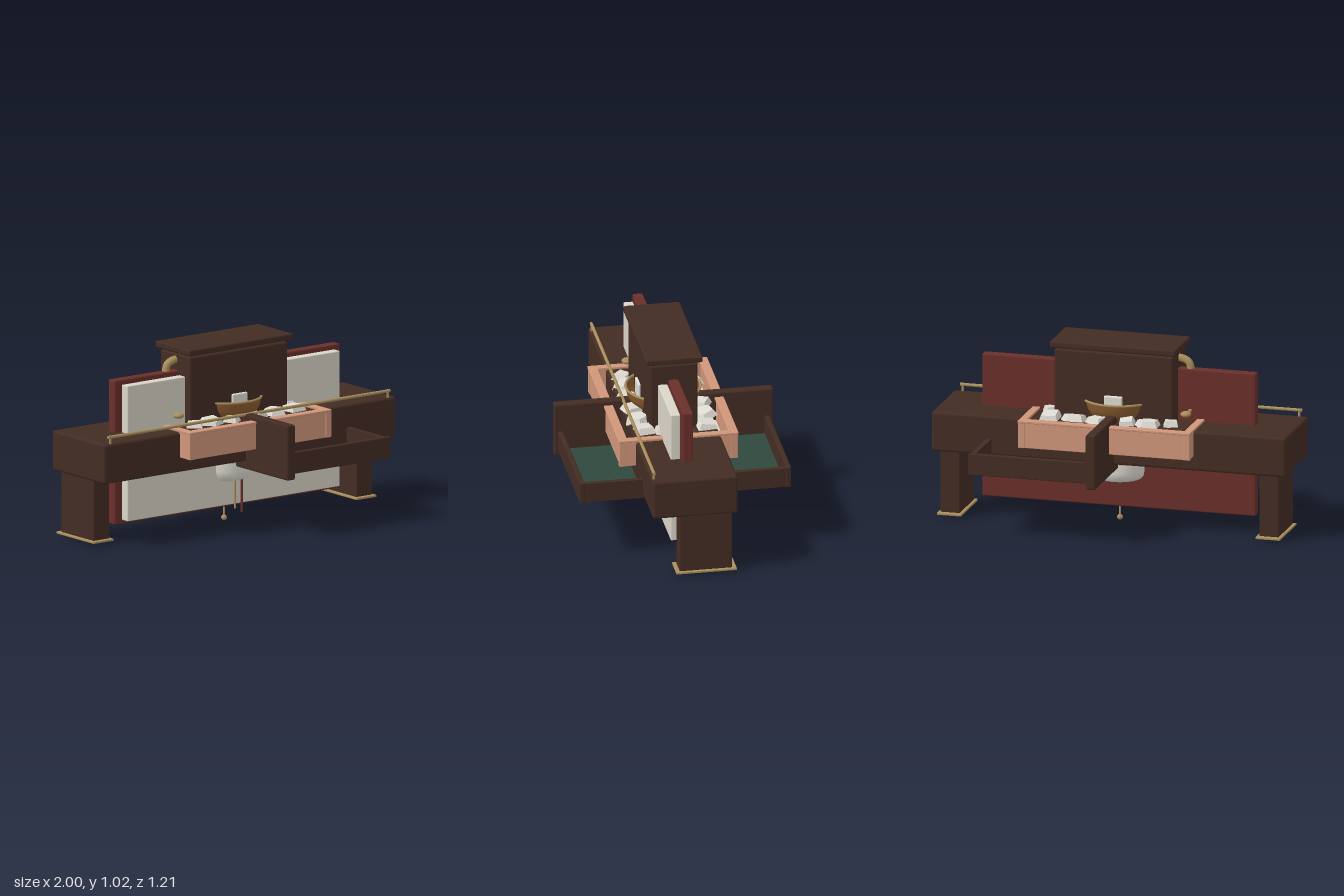
import * as THREE from 'three';
import { RoundedBoxGeometry } from 'three/addons/geometries/RoundedBoxGeometry.js';

const mat = (name, color, extra = {}) => {
  const m = new THREE.MeshStandardMaterial({ color, ...extra });
  m.name = name;
  return m;
};

export function createModel() {
  const model = new THREE.Group();
  model.name = 'bench';
  const wood = mat('darkWood', 0x432c23);
  const red = mat('oxbloodRed', 0x6a2f2a);
  const cream = mat('cream', 0xd9d5c8);
  const peach = mat('peach', 0xd0967a);
  const green = mat('feltGreen', 0x2f483d);
  const brass = mat('brass', 0xa98e5d);
  const copper = mat('copper', 0x8c5c30, { side: THREE.DoubleSide });
  const white = mat('porcelain', 0xe2dfd6);
  const stone = mat('stone', 0xdedbd3, { flatShading: true });

  const add = (name, geo, material, x = 0, y = 0, z = 0) => {
    const m = new THREE.Mesh(geo, material);
    m.name = name;
    m.position.set(x, y, z);
    model.add(m);
    return m;
  };
  // box given by its limits, with softened edges when r > 0
  const block = (name, material, [x0, x1], [y0, y1], [z0, z1], r = 0) => {
    const s = [x1 - x0, y1 - y0, z1 - z0];
    const geo = r ? new RoundedBoxGeometry(...s, 2, r) : new THREE.BoxGeometry(...s);
    return add(name, geo, material, (x0 + x1) / 2, (y0 + y1) / 2, (z0 + z1) / 2);
  };
  const rod = (name, material, a, b, r) => {
    const p = new THREE.Vector3(...a), q = new THREE.Vector3(...b);
    const m = add(name, new THREE.CylinderGeometry(r, r, p.distanceTo(q), 12), material);
    m.position.copy(p).add(q).multiplyScalar(0.5);
    m.quaternion.setFromUnitVectors(new THREE.Vector3(0, 1, 0), q.sub(p).normalize());
    return m;
  };

  // main beam, cabinet and cap
  block('benchTop', wood, [-1, 1], [0.375, 0.597], [-0.235, 0.235], 0.015);
  block('cabinet', wood, [-0.335, 0.335], [0.58, 0.976], [-0.133, 0.133], 0.012);
  block('cabinetCap', wood, [-0.355, 0.355], [0.985, 1.022], [-0.156, 0.156], 0.01);

  // legs with brass feet
  for (const s of [-1, 1]) {
    block('leg', wood, [s * 0.9 - 0.055, s * 0.9 + 0.055], [0.028, 0.38], [-0.21, 0.08], 0.006);
    block('footPlate', brass, [s * 0.9 - 0.069, s * 0.9 + 0.069], [0.017, 0.03], [-0.235, 0.1], 0.004);
  }

  // upright panels
  block('backPanel', red, [-0.772, 0.772], [0.085, 0.887], [-0.027, 0.03], 0.008);
  block('facePanel', cream, [-0.728, 0.728], [0.108, 0.862], [0.035, 0.088], 0.006);

  // cross plank
  block('crossPlank', wood, [-0.03, 0.026], [0.33, 0.637], [-0.605, 0.605], 0.01);

  // double ended drawer
  block('drawerFloor', green, [0.02, 0.665], [0.354, 0.372], [-0.56, 0.56]);
  block('drawerSide', wood, [0.66, 0.688], [0.36, 0.47], [-0.56, 0.56]);

  // tray overhanging front and back
  block('trayFloor', cream, [-0.46, 0.46], [0.458, 0.475], [-0.3, 0.3]);
  for (const s of [-1, 1]) {
    const band = (a, b) => [Math.min(s * a, s * b), Math.max(s * a, s * b)];
    block('drawerEnd', wood, [0.02, 0.694], [0.358, 0.477], band(0.556, 0.584), 0.005);
    block('trayWall', peach, [-0.482, 0.482], [0.457, 0.6], band(0.287, 0.323), 0.004);
    block('trayRim', peach, [-0.486, 0.486], [0.598, 0.612], band(0.28, 0.331), 0.004);
    block('traySide', peach, band(0.447, 0.482), [0.457, 0.6], [-0.32, 0.32], 0.004);
    block('traySideRim', peach, band(0.443, 0.486), [0.598, 0.612], [-0.326, 0.326], 0.004);
    for (const x of [-0.466, 0.466])
      block('trayPost', peach, [x - 0.019, x + 0.019], [0.457, 0.605], band(0.29, 0.328), 0.004);
  }

  // brass guard rail
  rod('guardRail', brass, [-0.965, 0.632, 0.222], [0.965, 0.632, 0.222], 0.009);
  for (const x of [-0.95, 0.95]) rod('railPost', brass, [x, 0.59, 0.222], [x, 0.64, 0.222], 0.007);

  // copper basin with brass rim, holding a pale block
  const basin = [[0.02, 0.6], [0.158, 0.6], [0.182, 0.622], [0.197, 0.655], [0.204, 0.695]];
  add('basin', new THREE.LatheGeometry(basin.map(p => new THREE.Vector2(...p)), 40), copper);
  const rim = add('basinRim', new THREE.TorusGeometry(0.204, 0.007, 8, 48), brass, 0, 0.696, 0);
  rim.rotation.x = Math.PI / 2;
  block('basinBlock', stone, [-0.052, 0.052], [0.64, 0.735], [-0.147, 0.147], 0.008);

  // rounded bowl under the bench with a peach collar
  const bowl = [[0, 0.238], [0.09, 0.238], [0.125, 0.247], [0.143, 0.268], [0.15, 0.3], [0.15, 0.352]];
  add('underBowl', new THREE.LatheGeometry(bowl.map(p => new THREE.Vector2(...p)), 40), white);
  add('bowlCollar', new THREE.CylinderGeometry(0.152, 0.152, 0.028, 40), peach, 0, 0.364, 0);

  // hanging pulls
  rod('redPull', red, [0.045, 0.06, 0.1], [0.045, 0.25, 0.1], 0.006);
  rod('brassPull', brass, [0, 0.085, 0.098], [0, 0.25, 0.098], 0.005);
  rod('drainStem', brass, [0, 0.02, 0], [0, 0.25, 0], 0.006);
  add('drainBall', new THREE.SphereGeometry(0.016, 16, 12), brass, 0, 0.018, 0);

  // spout on the cabinet side with a pair of knobs
  const spout = new THREE.CatmullRomCurve3([[-0.32, 0.945], [-0.36, 0.938], [-0.39, 0.92], [-0.4, 0.885], [-0.4, 0.87]]
    .map(([x, y]) => new THREE.Vector3(x, y, 0)));
  add('spout', new THREE.TubeGeometry(spout, 20, 0.021, 12), brass);
  rod('knobBar', brass, [-0.405, 0.655, -0.13], [-0.405, 0.655, 0.13], 0.01);
  for (const z of [-0.13, 0.125])
    add('knob', new THREE.SphereGeometry(0.03, 20, 12), brass, -0.408, 0.662, z).scale.set(1, 0.55, 1);

  // chipped stones scattered on the bench: x, z, size, turn
  const stones = [
    [-0.33, -0.15, 0.05, 0.3], [-0.21, -0.185, 0.068, 0.8], [-0.09, -0.19, 0.055, 0.2],
    [0.07, -0.19, 0.065, 1.1], [0.205, -0.185, 0.07, 0.7], [0.345, -0.18, 0.068, 0.05],
    [-0.33, 0.165, 0.055, 0.9], [-0.22, 0.165, 0.07, 0.3], [-0.09, 0.185, 0.05, 0.6],
    [0.08, 0.185, 0.06, 0.4], [0.21, 0.18, 0.065, 0.85], [0.345, 0.165, 0.065, 0.15],
    [0.375, -0.05, 0.045, 0.6], [0.375, 0.07, 0.045, 1.2],
  ];
  stones.forEach(([x, z, s, turn], i) => {
    const geo = new THREE.CylinderGeometry(s * 0.85, s * 1.15, 0.036, 4 + (i % 3 === 1 ? 1 : 0));
    const m = add('stoneChip', geo, stone, x, 0.61, z);
    m.rotation.set(0.12 * Math.sin(i * 2.1), turn + Math.PI / 4, 0.12 * Math.cos(i * 1.7));
  });

  return model;
}
